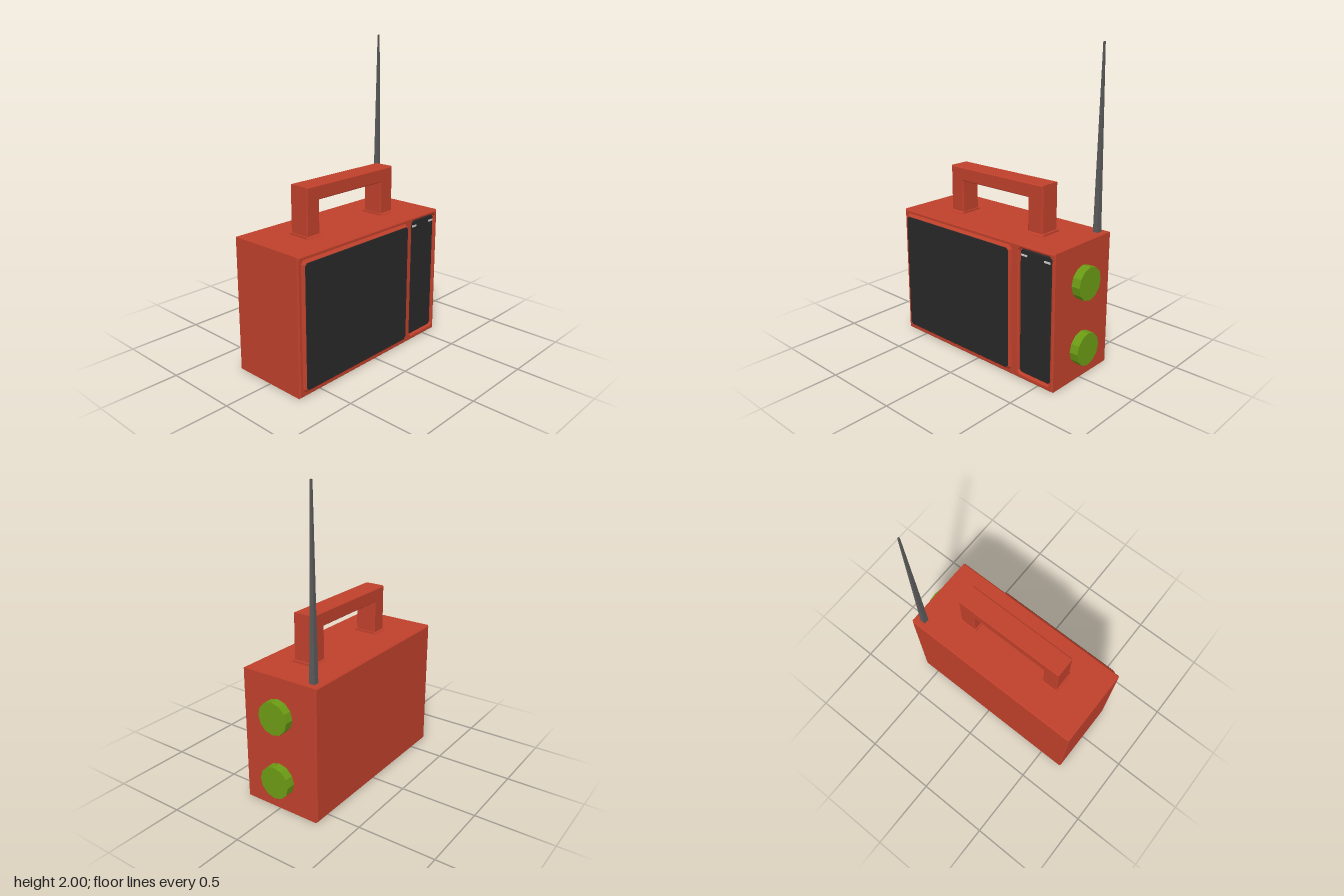
import * as THREE from 'three';

const mat = (color) => new THREE.MeshStandardMaterial({ color, flatShading: true });
const red = mat(0xbf402b), dark = mat(0x282828), green = mat(0x6b9a14), steel = mat(0x5a5a5a), white = mat(0xdddddd);

// Rectangle with cut corners in the side plane (z0 > z1)
function rect(z0, z1, y0, y1, c = 0, Type = THREE.Shape) {
  const a = -z0, b = -z1;
  const pts = c
    ? [[a + c, y0], [b - c, y0], [b, y0 + c], [b, y1 - c], [b - c, y1], [a + c, y1], [a, y1 - c], [a, y0 + c]]
    : [[a, y0], [b, y0], [b, y1], [a, y1]];
  return new Type(pts.map(([x, y]) => new THREE.Vector2(x, y)));
}

// Bevelled slab: side profile pushed out from x0 to x1
function slab(shape, x0, x1, bevel) {
  return new THREE.ExtrudeGeometry(shape, {
    depth: x1 - x0 - 2 * bevel, bevelEnabled: bevel > 0, bevelThickness: bevel,
    bevelSize: bevel, bevelOffset: -bevel, bevelSegments: 1, curveSegments: 1,
  }).translate(0, 0, x0 + bevel).rotateY(Math.PI / 2);
}

export function createModel() {
  const radio = new THREE.Group();
  radio.name = 'radio';
  const add = (name, geometry, material) => {
    const mesh = new THREE.Mesh(geometry, material);
    mesh.name = name;
    radio.add(mesh);
    return mesh;
  };

  // Case, with a face plate that leaves a recess for the tuning dial
  add('case', slab(rect(0.67, -0.615, 0, 0.87), -0.28, 0.24, 0.008), red);
  const plate = rect(0.67, -0.615, 0, 0.87);
  plate.holes.push(rect(-0.345, -0.59, 0.034, 0.846, 0.015, THREE.Path));
  add('facePlate', slab(plate, 0.2, 0.26, 0.008), red);

  // Raised speaker panel
  add('speakerFrame', slab(rect(0.645, -0.295, 0.03, 0.846, 0.02), 0.24, 0.277, 0.015), red);
  add('speakerGrille', slab(rect(0.629, -0.28, 0.046, 0.83, 0.016), 0.26, 0.28, 0.002), dark);

  // Tuning dial with two light marks
  add('tuningDial', slab(rect(-0.351, -0.584, 0.04, 0.84, 0.013), 0.23, 0.25, 0.004), dark);
  for (const z of [-0.382, -0.555]) {
    add('dialMark', new THREE.BoxGeometry(0.004, 0.012, 0.044).translate(0.251, 0.805, z), white);
  }

  // Carrying handle and its bevelled feet
  const arch = new THREE.Shape([
    [-0.41, 0.86], [-0.305, 0.86], [-0.305, 1.09], [0.25, 1.09],
    [0.25, 0.86], [0.365, 0.86], [0.365, 1.18], [-0.41, 1.18],
  ].map(([x, y]) => new THREE.Vector2(x, y)));
  add('handle', slab(arch, -0.07, 0.07, 0.006), red);
  for (const [z0, z1] of [[0.42, 0.295], [-0.24, -0.38]]) {
    add('handleFoot', slab(rect(z0, z1, 0.855, 0.882), -0.082, 0.082, 0.01), red);
  }

  // Control knobs on the back end
  for (const y of [0.205, 0.63]) {
    const knob = new THREE.CylinderGeometry(0.105, 0.105, 0.07, 12).rotateX(-Math.PI / 2);
    add('knob', knob.translate(-0.005, y, -0.637), green);
  }

  // Tapered square antenna
  const antenna = new THREE.CylinderGeometry(0.007, 0.026, 1.14, 4).rotateY(Math.PI / 4);
  add('antenna', antenna.translate(-0.222, 1.43, -0.555), steel);

  return radio;
}
